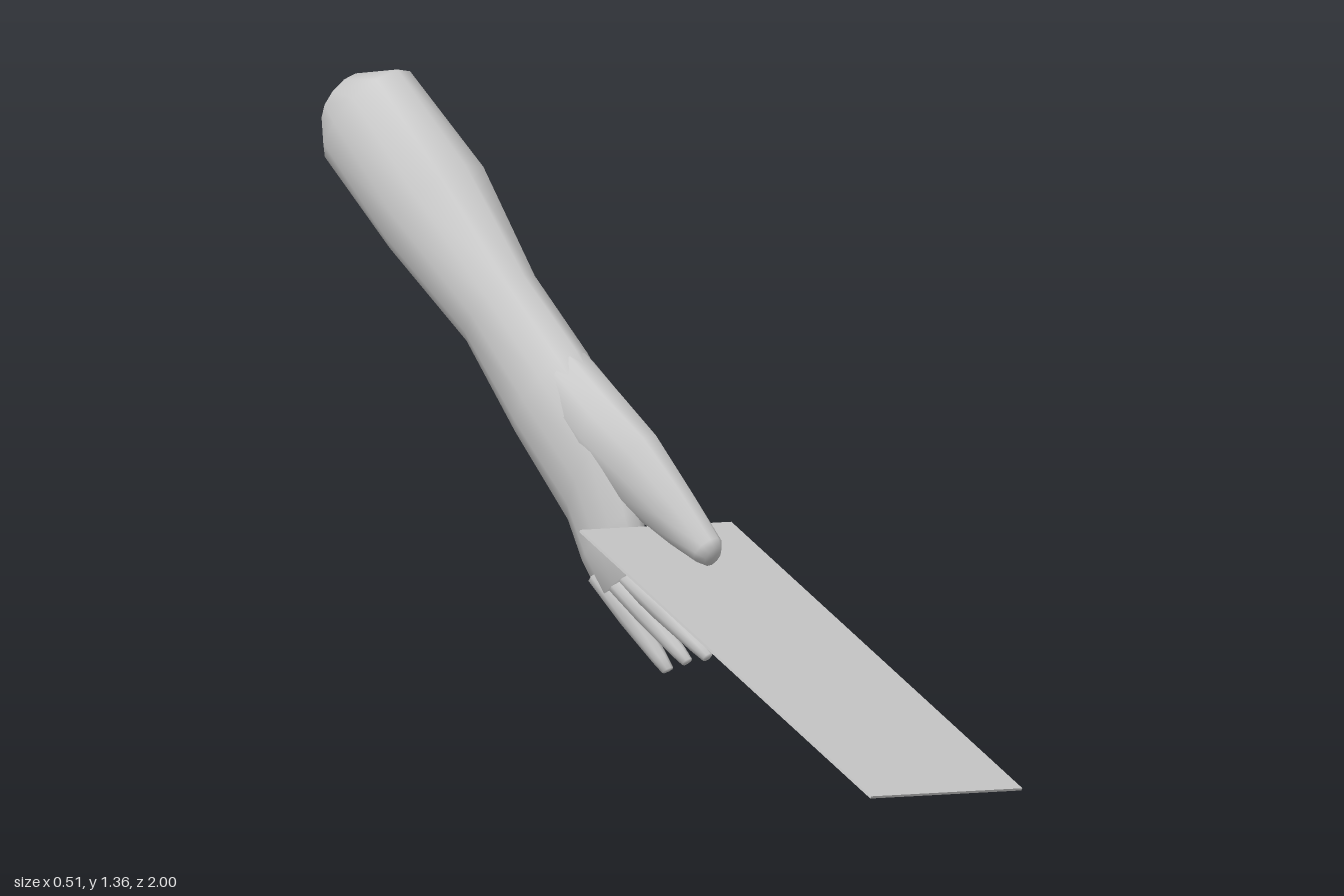
import * as THREE from 'three';

const material = new THREE.MeshStandardMaterial({ color: 0xcccccc });

// Skin a row of cross-sections, each [upper z, upper y, lower z, lower y, min x, max x].
// Both ends close on a centre point, pushed out by `bulge` along the path.
function loft(name, rings, sides, bulge) {
  const centre = ([uz, uy, lz, ly, x0, x1]) =>
    new THREE.Vector3((x0 + x1) / 2, (uy + ly) / 2, (uz + lz) / 2);
  const endPoint = (ring, inner, amount) => {
    const c = centre(ring);
    return c.clone().add(c.clone().sub(centre(inner)).setLength(amount));
  };
  const n = rings.length;
  const points = [];
  for (const ring of rings) {
    const [uz, uy, lz, ly, x0, x1] = ring;
    const c = centre(ring);
    for (let j = 0; j < sides; j++) {
      const a = (j / sides) * Math.PI * 2;
      points.push(
        c.x + Math.cos(a) * (x1 - x0) / 2,
        c.y + Math.sin(a) * (uy - ly) / 2,
        c.z + Math.sin(a) * (uz - lz) / 2);
    }
  }
  points.push(...endPoint(rings[0], rings[1], bulge[0]).toArray());
  points.push(...endPoint(rings[n - 1], rings[n - 2], bulge[1]).toArray());

  const index = [];
  const first = n * sides, last = first + 1;
  for (let j = 0; j < sides; j++) {
    const k = (j + 1) % sides;
    for (let i = 0; i < n - 1; i++) {
      const a = i * sides + j, b = i * sides + k;
      index.push(a, b, a + sides, b, b + sides, a + sides);
    }
    index.push(first, k, j);
    index.push(last, (n - 1) * sides + j, (n - 1) * sides + k);
  }
  const geometry = new THREE.BufferGeometry();
  geometry.setAttribute('position', new THREE.Float32BufferAttribute(points, 3));
  geometry.setIndex(index);
  geometry.computeVertexNormals();
  const mesh = new THREE.Mesh(geometry, material);
  mesh.name = name;
  return mesh;
}

// Tapered finger between two [x, y, z] points
function finger(name, from, to, r0, r1) {
  const a = new THREE.Vector3(...from), b = new THREE.Vector3(...to);
  const d = b.clone().sub(a).setX(0).normalize();
  const rings = [[0, r0], [0.45, r0 * 0.85], [0.88, r1], [1, r1 * 0.75]].map(([t, r]) => {
    const p = a.clone().lerp(b, t);
    return [p.z - d.y * r, p.y + d.z * r, p.z + d.y * r, p.y - d.z * r, p.x - r, p.x + r];
  });
  return loft(name, rings, 8, [0.002, 0.002]);
}

export function createModel() {
  const model = new THREE.Group();
  model.name = 'handHoldingCard';

  // Forearm, wrist and palm
  model.add(loft('forearmAndPalm', [
    [-0.925, 1.325, -0.997, 1.19, -0.04, 0.08],
    [-0.79, 1.36, -0.98, 1.12, -0.085, 0.122],
    [-0.57, 1.18, -0.76, 0.957, -0.11, 0.148],
    [-0.38, 0.97, -0.525, 0.79, -0.077, 0.10],
    [-0.18, 0.84, -0.34, 0.62, -0.106, 0.07],
    [-0.03, 0.70, -0.17, 0.45, -0.10, 0.05],
    [0.03, 0.52, -0.125, 0.37, -0.09, 0.02],
    [0.06, 0.405, -0.075, 0.295, -0.07, 0.005],
  ], 12, [0.015, 0.005]));

  // Thumb, resting on top of the card
  model.add(loft('thumb', [
    [-0.18, 0.835, -0.22, 0.66, -0.09, 0.06],
    [-0.06, 0.765, -0.12, 0.58, -0.095, 0.055],
    [0.05, 0.69, -0.01, 0.51, -0.075, 0.05],
    [0.15, 0.585, 0.09, 0.46, -0.05, 0.047],
    [0.237, 0.487, 0.19, 0.425, -0.032, 0.043],
    [0.242, 0.465, 0.218, 0.42, -0.015, 0.03],
  ], 10, [0.002, 0.002]));

  // Fingers, curling under the card
  const fingers = new THREE.Group();
  fingers.name = 'fingers';
  fingers.add(
    finger('indexFinger', [-0.035, 0.40, 0.015], [0, 0.28, 0.25], 0.034, 0.018),
    finger('middleFinger', [-0.035, 0.375, -0.005], [0, 0.213, 0.22], 0.032, 0.017),
    finger('ringFinger', [-0.04, 0.355, -0.03], [0, 0.19, 0.155], 0.031, 0.017),
    finger('littleFinger', [-0.04, 0.355, -0.075], [0.005, 0.157, 0.088], 0.034, 0.018));
  model.add(fingers);

  // Thin card, sloping down to the front and towards its left
  const across = new THREE.Vector3(0.5, -0.08, -0.04);
  const along = new THREE.Vector3(0, -0.433, 0.925);
  const card = new THREE.Mesh(
    new THREE.BoxGeometry(across.length(), 0.006, along.length()), material);
  card.name = 'card';
  const xAxis = across.clone().normalize();
  const yAxis = along.clone().cross(across).normalize();
  const zAxis = xAxis.clone().cross(yAxis);
  card.quaternion.setFromRotationMatrix(new THREE.Matrix4().makeBasis(xAxis, yAxis, zAxis));
  card.position.set(0, 0.263, 0.518);
  model.add(card);

  return model;
}
